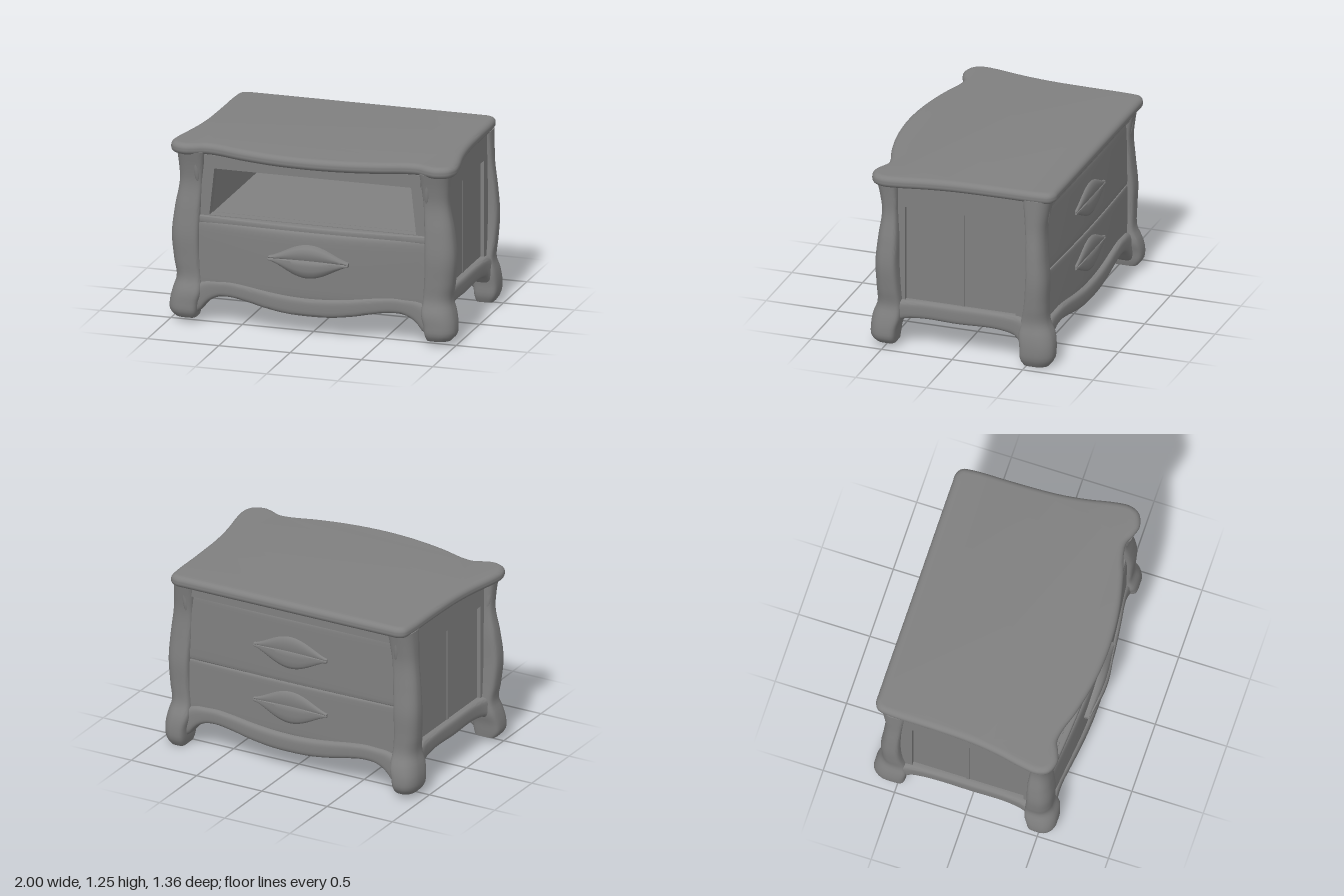
import * as THREE from 'three';
import { mergeVertices, toCreasedNormals } from 'three/addons/utils/BufferGeometryUtils.js';

const wood = new THREE.MeshStandardMaterial({ color: 0x808080 });
wood.name = 'grey wood';

// Join closed rings of points into a capped, outward-facing solid
function loft(rings, crease = 0.8) {
  const n = rings[0].length, pos = [], idx = [];
  rings.forEach(r => r.forEach(p => pos.push(...p)));
  for (let i = 0; i < rings.length - 1; i++) {
    for (let j = 0; j < n; j++) {
      const a = i * n + j, b = i * n + (j + 1) % n;
      idx.push(a, b, b + n, a, b + n, a + n);
    }
  }
  [0, rings.length - 1].forEach((k, end) => {
    const c = pos.length / 3;
    pos.push(...[0, 1, 2].map(d => rings[k].reduce((s, p) => s + p[d] / n, 0)));
    for (let j = 0; j < n; j++) {
      const a = k * n + j, b = k * n + (j + 1) % n;
      if (end) idx.push(c, a, b); else idx.push(c, b, a);
    }
  });
  // Turn the faces round if the enclosed volume is negative
  const at = i => new THREE.Vector3().fromArray(pos, i * 3);
  let volume = 0;
  for (let i = 0; i < idx.length; i += 3) volume += at(idx[i]).dot(at(idx[i + 1]).cross(at(idx[i + 2])));
  if (volume < 0) idx.reverse();
  const g = new THREE.BufferGeometry();
  g.setAttribute('position', new THREE.Float32BufferAttribute(pos, 3));
  g.setIndex(idx);
  return toCreasedNormals(g, crease);
}

// Rounded rectangle across an axis, spanning a0..a1 and b0..b1; the a1-b1 corner may be rounder
function ring(axis, t, a0, a1, b0, b1, e = 0.5, outer = e, n = 28) {
  const out = [];
  for (let i = 0; i < n; i++) {
    const w = (i + 0.5) / n * Math.PI * 2;
    const k = w < Math.PI / 2 ? outer : e;
    const pw = v => Math.sign(v) * Math.abs(v) ** k;
    const a = (a0 + a1) / 2 + (a1 - a0) / 2 * pw(Math.cos(w));
    const b = (b0 + b1) / 2 + (b1 - b0) / 2 * pw(Math.sin(w));
    out.push(axis === 'x' ? [t, a, b] : axis === 'y' ? [a, t, b] : [a, b, t]);
  }
  return out;
}

// Smoothly resample rows whose first column increases
function smooth(rows, steps) {
  const size = rows[0].length - 1;
  const f = new THREE.CubicInterpolant(rows.map(r => r[0]), new Float32Array(rows.flatMap(r => r.slice(1))), size);
  const t0 = rows[0][0], t1 = rows[rows.length - 1][0];
  return Array.from({ length: steps + 1 }, (_, i) => {
    const t = t0 + (t1 - t0) * i / steps;
    return [t, ...f.evaluate(t)];
  });
}

const mirrorRows = half => [...half.slice(1).reverse().map(([x, ...r]) => [-x, ...r]), ...half];

export function createModel() {
  const model = new THREE.Group();
  model.name = 'nightstand';
  const add = (name, geo) => {
    const m = new THREE.Mesh(geo, wood);
    m.name = name;
    model.add(m);
    return m;
  };
  const box = (name, x0, x1, y0, y1, z0, z1) => add(name,
    new THREE.BoxGeometry(x1 - x0, y1 - y0, z1 - z0).translate((x0 + x1) / 2, (y0 + y1) / 2, (z0 + z1) / 2));

  // Table top with a serpentine front and rounded edge
  const half = [[0, 0.68], [0.25, 0.663], [0.5, 0.612], [0.65, 0.565], [0.74, 0.555], [0.81, 0.585], [0.88, 0.603],
    [0.965, 0.57], [0.997, 0.5], [0.99, 0.4], [0.95, 0.2], [0.925, 0], [0.915, -0.3], [0.91, -0.58],
    [0.895, -0.65], [0.85, -0.678], [0.78, -0.68], [0, -0.68]];
  const outline = [...half, ...half.slice(1, -1).reverse().map(([x, z]) => [-x, z])].map(([x, z]) => new THREE.Vector3(x, z, 0));
  const edge = new THREE.CatmullRomCurve3(outline, true, 'centripetal').getPoints(136).slice(0, -1);
  let top = new THREE.ExtrudeGeometry(new THREE.Shape(edge.map(p => new THREE.Vector2(p.x, p.y))),
    { depth: 0.01, bevelThickness: 0.035, bevelSize: 0.04, bevelOffset: -0.04, bevelSegments: 5 });
  top.deleteAttribute('uv');
  top.deleteAttribute('normal');
  top = toCreasedNormals(mergeVertices(top, 1e-4), 0.6);
  add('tableTop', top.rotateX(Math.PI / 2).translate(0, 1.215, 0));

  // Curved legs: y, inner x, outer x, inner z, outer z
  const frontLeg = [[0, 0.81, 0.965, 0.425, 0.575], [0.04, 0.8, 0.995, 0.42, 0.6], [0.13, 0.79, 1, 0.41, 0.605],
    [0.22, 0.77, 0.985, 0.39, 0.598], [0.3, 0.775, 0.962, 0.39, 0.57], [0.42, 0.785, 0.978, 0.4, 0.57],
    [0.6, 0.79, 0.993, 0.41, 0.575], [0.78, 0.785, 0.975, 0.41, 0.56], [0.97, 0.775, 0.942, 0.42, 0.54],
    [1.08, 0.765, 0.945, 0.42, 0.555], [1.19, 0.755, 0.955, 0.42, 0.58]];
  const backLeg = [[0, 0.81, 0.93, 0.475, 0.64], [0.04, 0.8, 0.955, 0.455, 0.67], [0.13, 0.79, 0.965, 0.45, 0.68],
    [0.22, 0.77, 0.955, 0.44, 0.665], [0.3, 0.775, 0.935, 0.45, 0.632], [0.42, 0.785, 0.945, 0.475, 0.627],
    [0.6, 0.785, 0.955, 0.49, 0.632], [0.78, 0.775, 0.945, 0.49, 0.618], [0.97, 0.765, 0.925, 0.48, 0.61],
    [1.08, 0.755, 0.92, 0.47, 0.625], [1.19, 0.745, 0.915, 0.46, 0.645]];
  for (const sx of [1, -1]) {
    for (const sz of [1, -1]) {
      const name = (sz > 0 ? 'front' : 'back') + (sx > 0 ? 'Left' : 'Right');
      const base = sz > 0 ? 0.035 : sx > 0 ? 0 : 0.03;
      const rings = smooth(sz > 0 ? frontLeg : backLeg, 44).map(([y, x0, x1, z0, z1]) =>
        ring('y', y < 0.2 ? base + y * (0.2 - base) / 0.2 : y, sx * x0, sx * x1, sz * z0, sz * z1, 0.4, 1));
      add(name + 'Leg', loft(rings));
      // Carved leaves at the top of the leg
      const zo = sz > 0 ? 0.535 : 0.605;
      [[0.81, zo, 0.11], [0.885, zo - 0.04, 0.13], [sz > 0 ? 0.92 : 0.895, zo - 0.09, 0.11]].forEach(([x, z, h], i) => {
        const leaf = add(name + 'Leaf' + (i + 1), new THREE.SphereGeometry(1, 12, 10));
        leaf.scale.set(0.022, h, 0.022);
        leaf.position.set(sx * x, 1.07, sz * z);
        leaf.rotation.set(sz * 0.1, 0, -sx * 0.07);
      });
    }
  }

  // Scalloped aprons: x, bottom, top, outer z
  const apron = mirrorRows([[0, 0.13, 0.26, 0.622], [0.15, 0.135, 0.265, 0.62], [0.3, 0.155, 0.28, 0.612],
    [0.45, 0.185, 0.3, 0.598], [0.57, 0.2, 0.31, 0.583], [0.66, 0.188, 0.305, 0.57], [0.73, 0.145, 0.3, 0.565],
    [0.79, 0.075, 0.28, 0.568], [0.83, 0.06, 0.25, 0.57]]);
  const apronRows = smooth(apron, 60);
  add('frontApron', loft(apronRows.map(([x, y0, y1, z]) => ring('x', x, y0, y1, z - 0.13, z))));
  add('backApron', loft(apronRows.map(([x, y0, y1, z]) => ring('x', x, y0, y1, -0.49, -(z * 0.3 + 0.455)))));

  // Side aprons, frames and panels
  const sideRows = smooth([[-0.5, 0.1, 0.33, 0.935], [-0.46, 0.13, 0.335, 0.93], [-0.42, 0.185, 0.34, 0.925],
    [-0.36, 0.208, 0.34, 0.92], [0, 0.212, 0.34, 0.915], [0.34, 0.208, 0.34, 0.925],
    [0.4, 0.19, 0.34, 0.94], [0.44, 0.13, 0.335, 0.955]], 40);
  for (const s of [1, -1]) {
    const side = s > 0 ? 'left' : 'right';
    add(side + 'Apron', loft(sideRows.map(([z, y0, y1, x]) => ring('z', z, s * 0.8, s * x, y0, y1))));
    const span = (name, x0, x1, ...r) => box(side + name, Math.min(s * x0, s * x1), Math.max(s * x0, s * x1), ...r);
    span('Wall', 0.73, 0.87, 0.22, 1.18, -0.55, 0.49);
    span('TopRail', 0.865, 0.895, 1.01, 1.18, -0.51, 0.46);
    span('FrontStile', 0.865, 0.895, 0.25, 1.02, 0.37, 0.46);
    span('BackStile', 0.865, 0.895, 0.25, 1.02, -0.51, -0.41);
    span('PanelBead', 0.865, 0.875, 0.33, 1.01, -0.04, -0.015);
  }

  // Boards of the open niche and the base
  box('ceiling', -0.74, 0.74, 1.09, 1.18, -0.55, 0.47);
  box('shelf', -0.74, 0.74, 0.7, 0.74, -0.56, 0.47);
  box('floor', -0.8, 0.8, 0.215, 0.25, -0.56, 0.5);
  box('bottomBoard', -0.37, 0.37, 0.165, 0.182, -0.5, 0.5);
  box('backBoard', -0.8, 0.8, 0.22, 1.18, -0.585, -0.55);

  // Frame around the niche opening
  const poly = pts => pts.map(([x, y]) => new THREE.Vector2(x, y));
  const frame = new THREE.Shape(poly([[-0.8, 0.68], [0.8, 0.68], [0.8, 1.18], [-0.8, 1.18]]));
  frame.holes.push(new THREE.Path(poly([[-0.725, 0.75], [-0.69, 1.075], [0.69, 1.075], [0.725, 0.75]])));
  add('nicheFrame', new THREE.ExtrudeGeometry(frame, { depth: 0.065, bevelEnabled: false }).translate(0, 0, 0.455));
  box('lintelMoulding', -0.76, 0.76, 1.085, 1.17, 0.515, 0.53);

  // Bowed drawer front and the ledge above it
  const bowed = (y0, y1, zSide, bow, e) => loft(Array.from({ length: 33 }, (_, i) => {
    const x = -0.8 + i * 0.05;
    return ring('x', x, y0, y1, 0.42, zSide + bow * Math.cos(x / 0.8 * Math.PI / 2), e);
  }), 0.6);
  add('drawerFront', bowed(0.22, 0.715, 0.54, 0.062, 0.25));
  add('drawerLedge', bowed(0.69, 0.746, 0.535, 0.045, 0.35));

  // Two drawer faces on the back, with a seam between them
  const backFace = (y0, y1) => loft(Array.from({ length: 25 }, (_, i) => {
    const x = -0.79 + i * 1.58 / 24;
    return ring('x', x, y0, y1, -0.56, -0.592 - 0.018 * Math.cos(x / 0.79 * Math.PI / 2), 0.2);
  }), 0.6);
  add('backLowerDrawer', backFace(0.25, 0.627));
  add('backUpperDrawer', backFace(0.633, 1.1));
  box('backTopRail', -0.8, 0.8, 1.1, 1.18, -0.615, -0.56);

  // Lens-shaped cup handle with a pointed tip at each end
  const profile = [[0, 1], [0.35, 1], [0.7, 0.85], [0.85, 0.6], [0.85, 0.3], [0.76, 0.12], [0.96, 0.04],
    [1, -0.2], [1, -0.5], [0.92, -0.8], [0.65, -1], [0, -1]];
  const handle = loft(Array.from({ length: 33 }, (_, i) => {
    const t = i / 16 - 1, k = Math.cos(t * Math.PI / 2) ** 1.4;
    return profile.map(([d, h]) => [t * 0.28, h * (0.014 + 0.098 * k), d * (0.055 + 0.03 * k)]);
  }), 1);
  add('drawerHandle', handle).position.set(0, 0.52, 0.578);
  for (const [name, y] of [['backLowerHandle', 0.46], ['backUpperHandle', 0.86]]) {
    const h = add(name, handle);
    h.position.set(0, y, -0.6);
    h.rotation.y = Math.PI;
    h.scale.z = 0.45;
  }
  return model;
}
